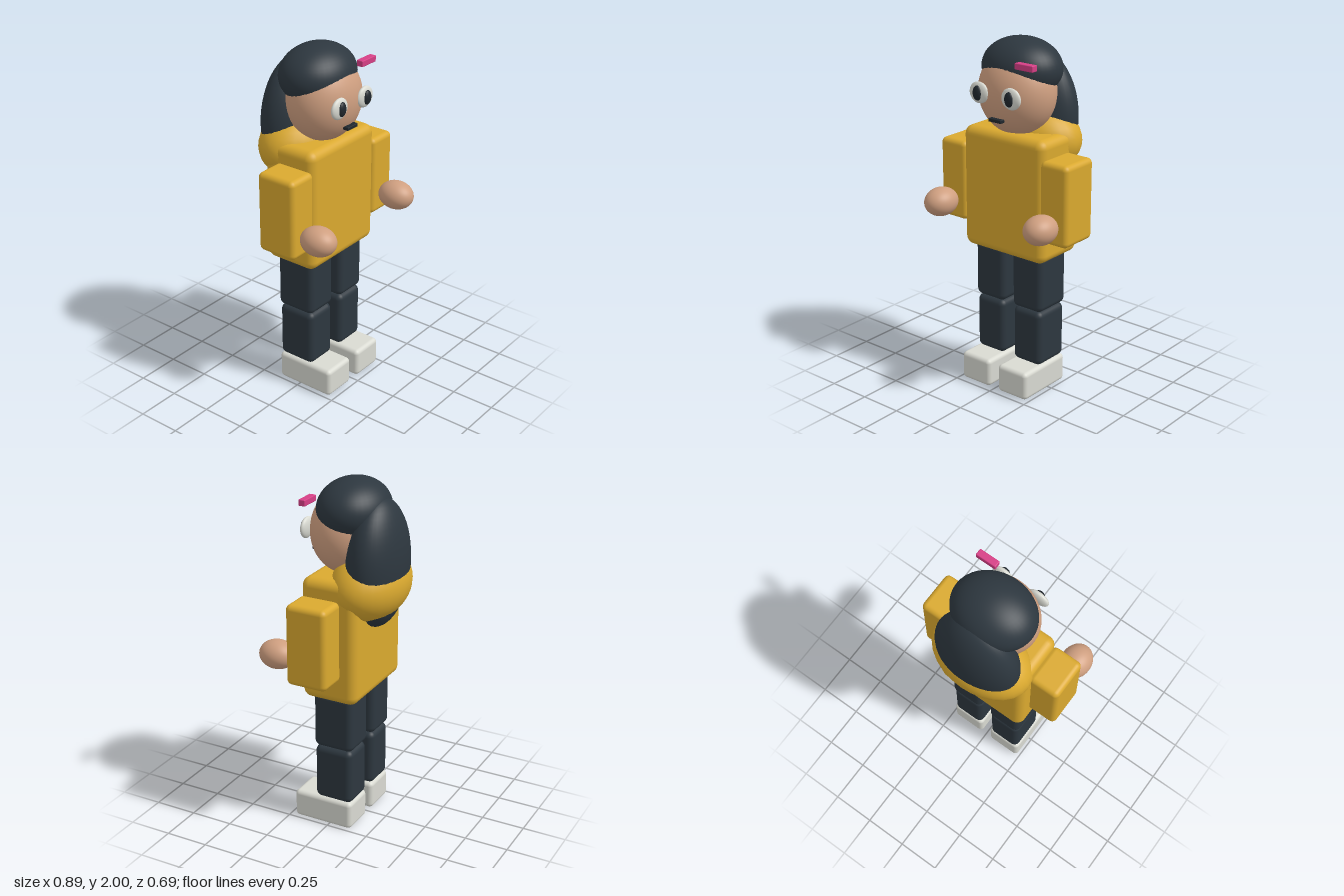
import * as THREE from 'three';
import { RoundedBoxGeometry } from 'three/addons/geometries/RoundedBoxGeometry.js';

function material(name, color) {
  const m = new THREE.MeshStandardMaterial({ color });
  m.name = name;
  return m;
}

export function createModel() {
  const model = new THREE.Group();
  model.name = 'figure';

  const yellow = material('yellow cloth', 0xdaa92f);
  const dark = material('dark slate', 0x2d373f);
  const skin = material('skin', 0xcf9f80);
  const white = material('off white', 0xd9dad2);
  const black = material('near black', 0x20272d);
  const pink = material('pink', 0xd63f86);

  function add(name, geometry, mat, x, y, z) {
    const mesh = new THREE.Mesh(geometry, mat);
    mesh.name = name;
    mesh.position.set(x, y, z);
    model.add(mesh);
    return mesh;
  }

  // Rounded box given by its extents along each axis
  function block(name, mat, [x0, x1], [y0, y1], [z0, z1], radius) {
    const geometry = new RoundedBoxGeometry(x1 - x0, y1 - y0, z1 - z0, 4, radius);
    return add(name, geometry, mat, (x0 + x1) / 2, (y0 + y1) / 2, (z0 + z1) / 2);
  }

  // Ellipsoid given by its centre and radii
  function ball(name, mat, [x, y, z], [rx, ry, rz], sides = 40) {
    const geometry = new THREE.SphereGeometry(1, sides, Math.round(sides * 0.7));
    geometry.scale(rx, ry, rz);
    return add(name, geometry, mat, x, y, z);
  }

  // Body and hood
  block('torso', yellow, [-0.28, 0.28], [0.8, 1.5], [-0.19, 0.14], 0.05);
  ball('hood', yellow, [0, 1.43, -0.145], [0.295, 0.2, 0.2], 28);

  // Head and hair
  ball('head', skin, [0, 1.71, 0], [0.225, 0.24, 0.195]);
  ball('hairCap', dark, [0, 1.835, -0.04], [0.235, 0.165, 0.195]);
  ball('backHair', dark, [0, 1.55, -0.185], [0.25, 0.36, 0.15]);
  block('hairClip', pink, [0.115, 0.235], [1.875, 1.91], [0.127, 0.167], 0.005);
  block('mouth', black, [-0.043, 0.043], [1.574, 1.593], [0.16, 0.195], 0.004);

  // Mirrored parts
  for (const s of [1, -1]) {
    const side = s > 0 ? 'left' : 'right';
    const span = (a, b) => (s > 0 ? [a, b] : [-b, -a]);

    block(side + 'Arm', yellow, span(0.26, 0.443), [0.94, 1.4], [-0.1, 0.14], 0.03);
    ball(side + 'Hand', skin, [s * 0.352, 1.065, 0.24], [0.087, 0.081, 0.105]);

    block(side + 'Thigh', dark, span(0.03, 0.235), [0.488, 0.82], [-0.145, 0.093], 0.035);
    block(side + 'Shin', dark, span(0.035, 0.23), [0.16, 0.488], [-0.14, 0.09], 0.035);
    block(side + 'Shoe', white, span(0.03, 0.235), [0, 0.165], [-0.14, 0.22], 0.025);

    ball(side + 'Eye', white, [s * 0.11, 1.72, 0.187], [0.064, 0.059, 0.023]);
    ball(side + 'Pupil', black, [s * 0.109, 1.72, 0.203], [0.029, 0.041, 0.019]);
  }

  return model;
}
